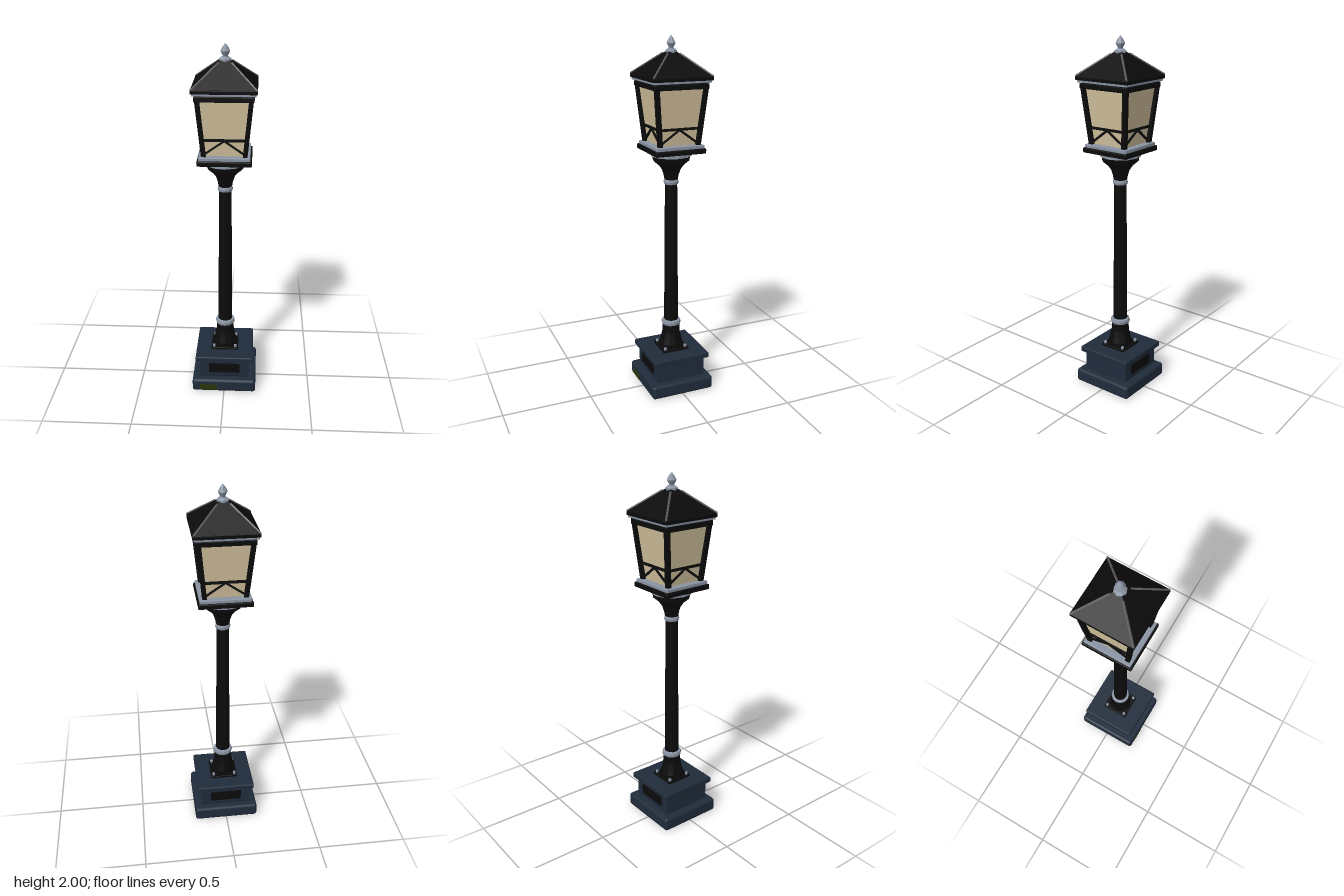
import * as THREE from 'three';
import { RoundedBoxGeometry } from 'three/addons/geometries/RoundedBoxGeometry.js';

const mat = (name, color) => {
  const m = new THREE.MeshStandardMaterial({ color });
  m.name = name;
  return m;
};

// Split shared vertices so every facet is flat
const flat = (g) => {
  const f = g.index ? g.toNonIndexed() : g;
  f.computeVertexNormals();
  return f;
};

export function createModel() {
  const model = new THREE.Group();
  model.name = 'streetLamp';
  const black = mat('blackIron', 0x0b0b0c);
  const slate = mat('slateStone', 0x202c3c);
  const silver = mat('silverTrim', 0x8a94a3);
  const ridgeGrey = mat('ridgeGrey', 0x5c5c5e);
  const glass = mat('warmGlass', 0xd2c19c);
  const moss = mat('moss', 0x2a3608);

  const add = (name, geo, material, x = 0, y = 0, z = 0, parent = model) => {
    const m = new THREE.Mesh(geo, material);
    m.name = name;
    m.position.set(x, y, z);
    parent.add(m);
    return m;
  };
  // Square block centred on the axis, from y0 to y1
  const block = (name, half, y0, y1, r, material) =>
    add(name, new RoundedBoxGeometry(half * 2, y1 - y0, half * 2, 2, r), material, 0, (y0 + y1) / 2, 0);
  // Faceted turned part from [radius, y] pairs
  const turned = (name, pts, sides, material) =>
    add(name, flat(new THREE.LatheGeometry(pts.map(p => new THREE.Vector2(...p)), sides)), material);
  // Straight bar between two points
  const bar = (name, a, b, w, d, material, parent = model) => {
    const p = new THREE.Vector3(...a), q = new THREE.Vector3(...b);
    const m = add(name, new THREE.BoxGeometry(w, p.distanceTo(q), d), material, 0, 0, 0, parent);
    m.position.copy(p).add(q).multiplyScalar(0.5);
    m.quaternion.setFromUnitVectors(new THREE.Vector3(0, 1, 0), q.sub(p).normalize());
    return m;
  };

  // Stone pedestal
  block('plinth', 0.185, 0, 0.078, 0.016, slate);
  const side = new THREE.Shape();
  const h = 0.145, lo = 0.075, hi = 0.195, r = 0.02;
  side.moveTo(-h + r, lo).lineTo(h - r, lo).quadraticCurveTo(h, lo, h, lo + r)
    .lineTo(h, hi - r).quadraticCurveTo(h, hi, h - r, hi)
    .lineTo(-h + r, hi).quadraticCurveTo(-h, hi, -h, hi - r)
    .lineTo(-h, lo + r).quadraticCurveTo(-h, lo, -h + r, lo);
  const body = new THREE.ExtrudeGeometry(side, { depth: 0.284, bevelEnabled: false, curveSegments: 4 });
  body.translate(0, 0, -0.142).rotateY(Math.PI / 2);
  add('pedestalBody', body, slate);
  block('pedestalCap', 0.166, 0.192, 0.224, 0.006, slate);
  for (const s of [1, -1])
    add('pedestalPanel', new THREE.BoxGeometry(0.18, 0.06, 0.009), black, 0, 0.142, s * 0.146);
  add('mossPatch', new THREE.BoxGeometry(0.1, 0.035, 0.004), moss, -0.09, 0.031, 0.185);

  // Anchor plate and bolts
  block('anchorPlate', 0.078, 0.222, 0.236, 0.003, black);
  for (const x of [-1, 1]) for (const z of [-1, 1])
    add('anchorBolt', flat(new THREE.CylinderGeometry(0.009, 0.009, 0.014, 6)), silver, x * 0.062, 0.242, z * 0.062);

  // Column with its rings
  turned('columnFoot', [[0.068, 0.234], [0.068, 0.255], [0.06, 0.285], [0.051, 0.325], [0.048, 0.372]], 12, black);
  turned('lowerRing', [[0.04, 0.368], [0.053, 0.372], [0.056, 0.385], [0.053, 0.398], [0.036, 0.402]], 12, silver);
  turned('columnShaft', [[0.041, 0.37], [0.034, 1.23]], 12, black);
  turned('upperRing', [[0.032, 1.205], [0.039, 1.208], [0.042, 1.22], [0.039, 1.232], [0.032, 1.236]], 12, silver);
  turned('capital', [[0.037, 1.234], [0.042, 1.26], [0.052, 1.29], [0.07, 1.315], [0.1, 1.34], [0.105, 1.368], [0, 1.368]], 12, black);
  turned('capitalDisc', [[0, 1.366], [0.112, 1.366], [0.112, 1.382], [0, 1.382]], 12, silver);
  turned('trayNeck', [[0.07, 1.38], [0.07, 1.395]], 12, black);

  // Lantern floor
  block('lanternTray', 0.144, 1.39, 1.418, 0.006, black);
  block('trayTrim', 0.136, 1.416, 1.436, 0.004, silver);

  // Tapered lantern wall: half width of the glass at a height
  const wall = (y) => 0.1 + (y - 1.435) * 0.107;
  const square = (top, bottom, height, open) =>
    flat(new THREE.CylinderGeometry(top * Math.SQRT2, bottom * Math.SQRT2, height, 4, 1, open).rotateY(Math.PI / 4));
  add('lanternGlass', square(wall(1.74), wall(1.436), 0.304, false), glass, 0, 1.588, 0);
  for (let i = 0; i < 4; i++) {
    const face = new THREE.Group();
    face.name = 'lanternSide';
    face.rotation.y = i * Math.PI / 2;
    model.add(face);
    const at = (x, y) => [x, y, wall(y) + 0.004];
    bar('cornerPost', [0.108, 1.43, 0.108], [0.138, 1.745, 0.138], 0.024, 0.024, black, face);
    bar('crossRail', at(-0.112, 1.525), at(0.112, 1.525), 0.013, 0.011, black, face);
    for (const s of [-1, 1])
      bar('diagonalBrace', at(0, 1.522), at(s * 0.103, 1.448), 0.01, 0.01, black, face);
  }

  // Lantern head and roof
  block('headFrame', 0.153, 1.732, 1.76, 0.004, black);
  block('headCore', 0.145, 1.758, 1.768, 0.002, black);
  block('eaveTrim', 0.162, 1.764, 1.778, 0.003, silver);
  block('eave', 0.169, 1.776, 1.797, 0.004, black);
  add('roof', square(0.022, 0.168, 0.122, false), black, 0, 1.856, 0);
  for (const x of [-1, 1]) for (const z of [-1, 1])
    bar('roofRidge', [x * 0.166, 1.797, z * 0.166], [x * 0.034, 1.907, z * 0.034], 0.008, 0.008, ridgeGrey);

  // Finial
  turned('finialCollar', [[0.024, 1.905], [0.032, 1.911], [0.032, 1.922], [0.02, 1.932], [0, 1.932]], 8, silver);
  turned('finialSpike', [[0.013, 1.928], [0.013, 1.937], [0.025, 1.96], [0.014, 1.982], [0, 2]], 8, silver);
  return model;
}
